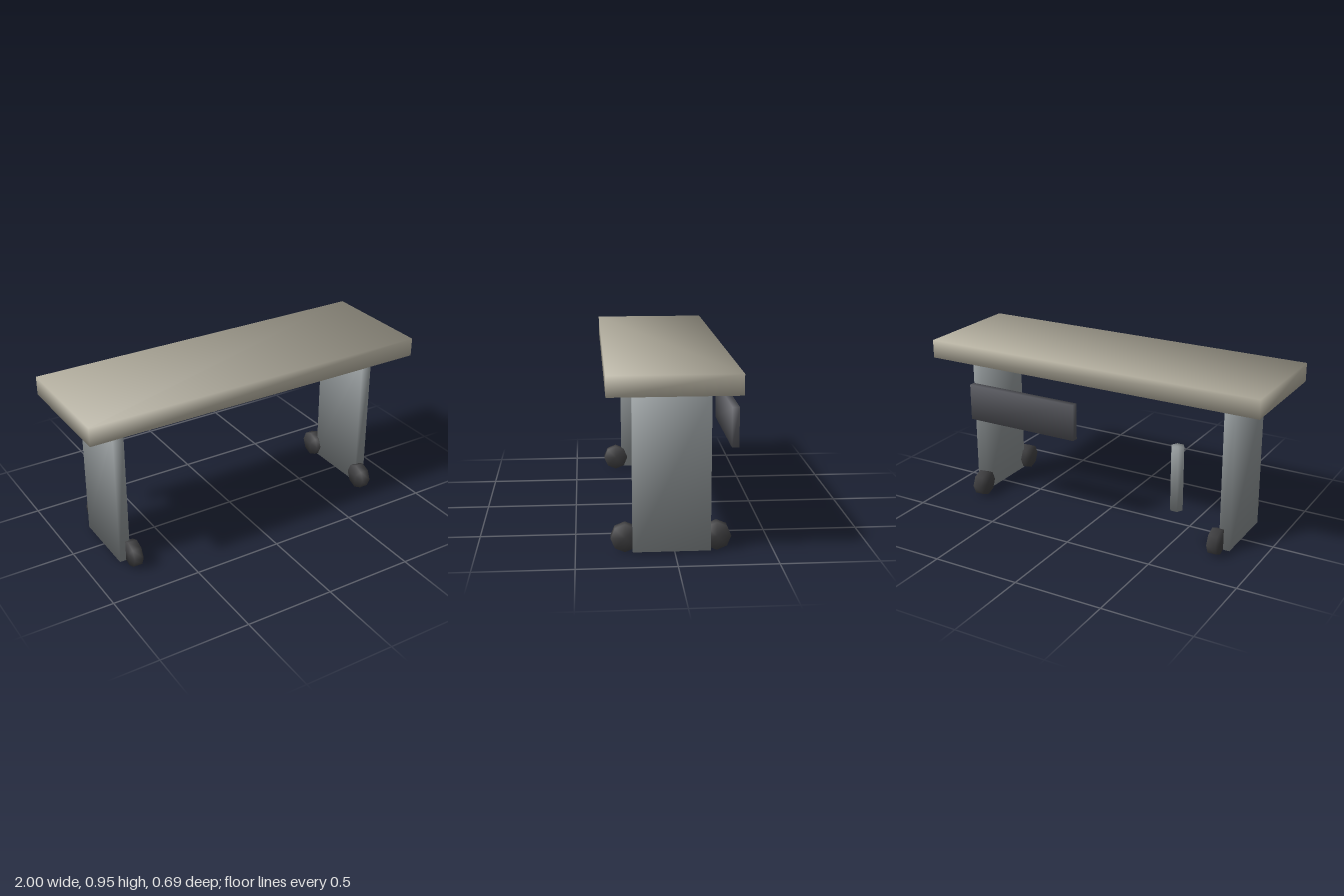
import * as THREE from 'three';

const materials = {
  top: new THREE.MeshStandardMaterial({ color: 0xb9b4a4 }),
  metal: new THREE.MeshStandardMaterial({ color: 0x8f9597 }),
  panel: new THREE.MeshStandardMaterial({ color: 0x56575d }),
  wheel: new THREE.MeshStandardMaterial({ color: 0x414143 }),
};

// Box given by its limits, with corner normals shared by all three faces
function softBox(name, material, [x0, x1], [y0, y1], [z0, z1]) {
  const geo = new THREE.BoxGeometry(x1 - x0, y1 - y0, z1 - z0);
  const p = geo.attributes.position;
  const n = new THREE.Vector3();
  for (let i = 0; i < p.count; i++) {
    n.set(Math.sign(p.getX(i)), Math.sign(p.getY(i)), Math.sign(p.getZ(i))).normalize();
    geo.attributes.normal.setXYZ(i, n.x, n.y, n.z);
  }
  const mesh = new THREE.Mesh(geo, material);
  mesh.name = name;
  mesh.position.set((x0 + x1) / 2, (y0 + y1) / 2, (z0 + z1) / 2);
  return mesh;
}

// Upright low-poly prism whose rims are shaded smoothly into the end caps
function softPrism(name, material, radius, height, sides, start = 0) {
  const geo = new THREE.CylinderGeometry(radius, radius, height, sides, 1, false, start);
  const p = geo.attributes.position;
  const n = new THREE.Vector3();
  for (let i = 0; i < p.count; i++) {
    n.set(p.getX(i) / radius, 0.8 * Math.sign(p.getY(i)), p.getZ(i) / radius).normalize();
    geo.attributes.normal.setXYZ(i, n.x, n.y, n.z);
  }
  const mesh = new THREE.Mesh(geo, material);
  mesh.name = name;
  return mesh;
}

export function createModel() {
  const table = new THREE.Group();
  table.name = 'rollingTable';

  // Table top
  table.add(softBox('tableTop', materials.top, [-1, 1], [0.846, 0.95], [-0.31, 0.343]));

  // Slab legs, each with a front and a back wheel on the inner side
  for (const side of [-1, 1]) {
    const label = side > 0 ? 'left' : 'right';
    const x = side * 0.79;
    table.add(softBox(label + 'Leg', materials.metal, [x - 0.031, x + 0.031], [0.013, 0.813], [-0.18, 0.213]));
    for (const [end, z] of [['Front', 0.25], ['Back', -0.215]]) {
      const wheel = softPrism(label + end + 'Wheel', materials.wheel, 0.073, 0.052, 8);
      wheel.rotation.z = Math.PI / 2;
      wheel.position.set(side * 0.758, 0.075, z);
      table.add(wheel);
    }
  }

  // Back panel
  table.add(softBox('backPanel', materials.panel, [0.058, 0.738], [0.524, 0.731], [-0.328, -0.291]));

  // Hexagonal post behind the table
  const post = softPrism('backPost', materials.metal, 0.037, 0.36, 6, Math.PI / 6);
  post.position.set(-0.563, 0.438, -0.31);
  table.add(post);

  return table;
}
